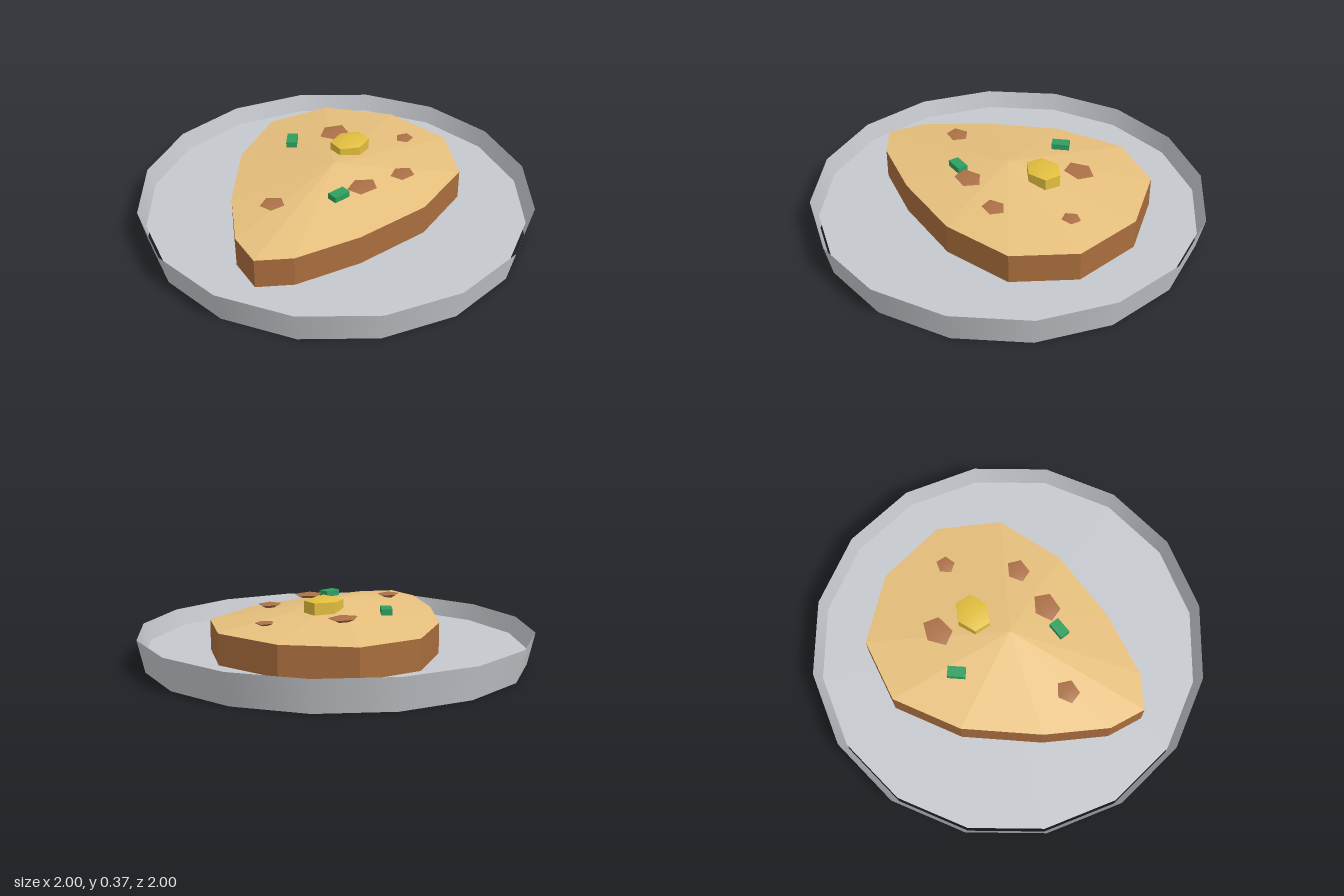
import * as THREE from 'three';
import { toCreasedNormals } from 'three/addons/utils/BufferGeometryUtils.js';

const paint = (name, color, extra = {}) => new THREE.MeshStandardMaterial({ name, color, ...extra });
const profile = (points) => points.map(([r, y]) => new THREE.Vector2(r, y));

function fromTriangles(points) {
  const g = new THREE.BufferGeometry().setFromPoints(points);
  g.computeVertexNormals();
  return g;
}

export function createModel() {
  const model = new THREE.Group();
  const metal = paint('trayGrey', 0xc5c8cd, { side: THREE.DoubleSide });
  const crust = paint('crustBrown', 0xa96d3d);
  const dough = paint('doughTan', 0xe7c07d);
  const nut = paint('chunkBrown', 0xac7147);
  const butter = paint('butterYellow', 0xe2be3e);
  const herb = paint('herbGreen', 0x2f9f60);

  const add = (name, geometry, material, x = 0, y = 0, z = 0, turn = 0) => {
    const mesh = new THREE.Mesh(geometry, material);
    mesh.name = name;
    mesh.position.set(x, y, z);
    mesh.rotation.y = turn;
    model.add(mesh);
    return mesh;
  };

  // Tray: open flared wall, a flat raised floor and a shallow domed underside
  add('trayWall', new THREE.CylinderGeometry(1, 0.963, 0.163, 16, 1, true), metal, 0, 0.0815, 0);
  add('trayFloor', new THREE.CircleGeometry(0.963, 16).rotateX(-Math.PI / 2), metal, 0, 0.077, 0);
  add('trayUnderside', new THREE.LatheGeometry(
    profile([[0, 0.004], [0.5, 0.014], [0.8, 0.036], [0.96, 0.075]]), 16), metal);

  // Bread: irregular outline with a straight crust and a low peaked top
  const outline = [
    [0.03, -0.66], [0.36, -0.62], [0.615, -0.35], [0.697, 0.01], [0.55, 0.31], [0.21, 0.455],
    [-0.19, 0.478], [-0.53, 0.437], [-0.692, 0.347], [-0.677, 0.155], [-0.525, -0.14], [-0.28, -0.46],
  ];
  const at = (i, y) => {
    const [x, z] = outline[i % outline.length];
    return new THREE.Vector3(x, y, z);
  };
  const low = 0.077, high = 0.23;
  const apex = new THREE.Vector3(-0.015, 0.321, 0);
  const sides = [], top = [];
  outline.forEach((_, i) => {
    const a = at(i, low), b = at(i + 1, low), c = at(i, high), d = at(i + 1, high);
    sides.push(b, a, c, b, c, d);
    top.push(apex, d, c);
  });
  add('breadCrust', fromTriangles(sides), crust);
  add('breadTop', fromTriangles(top), dough);

  // Butter: six-sided pat with a shallow peak
  const pat = new THREE.LatheGeometry(profile([[0, 0.282], [0.104, 0.282], [0.104, 0.343], [0, 0.37]]), 6);
  add('butterPat', toCreasedNormals(pat, 0.6), butter, 0.16, 0, -0.106).scale.z = 0.81;

  // Chunks: small five-sided pebbles [x, y, z, half width, half depth, turn]
  const pebble = toCreasedNormals(new THREE.LatheGeometry(
    profile([[0, -0.015], [0.5, -0.013], [1, 0.003], [0, 0.015]]), 5, Math.PI), 0.5);
  [
    [0, 0.302, 0.228, 0.082, 0.065, 0],
    [-0.42, 0.278, 0.074, 0.064, 0.057, 0],
    [0.25, 0.281, 0.222, 0.066, 0.056, 0.05],
    [0.485, 0.264, -0.067, 0.05, 0.046, 0.35],
    [0.192, 0.285, -0.295, 0.087, 0.068, 0.2],
  ].forEach(([x, y, z, w, d, turn], i) => {
    add(`chunk${i + 1}`, pebble, nut, x, y, z, turn).scale.set(w, i === 3 ? 0.75 : 1, d);
  });

  // Herbs: little green blocks
  const leaf = new THREE.BoxGeometry(0.09, 0.03, 0.054);
  add('herbBack', leaf, herb, -0.046, 0.3, -0.333, 0.92);
  add('herbFront', leaf, herb, -0.132, 0.3, 0.217, 0.09);

  return model;
}
